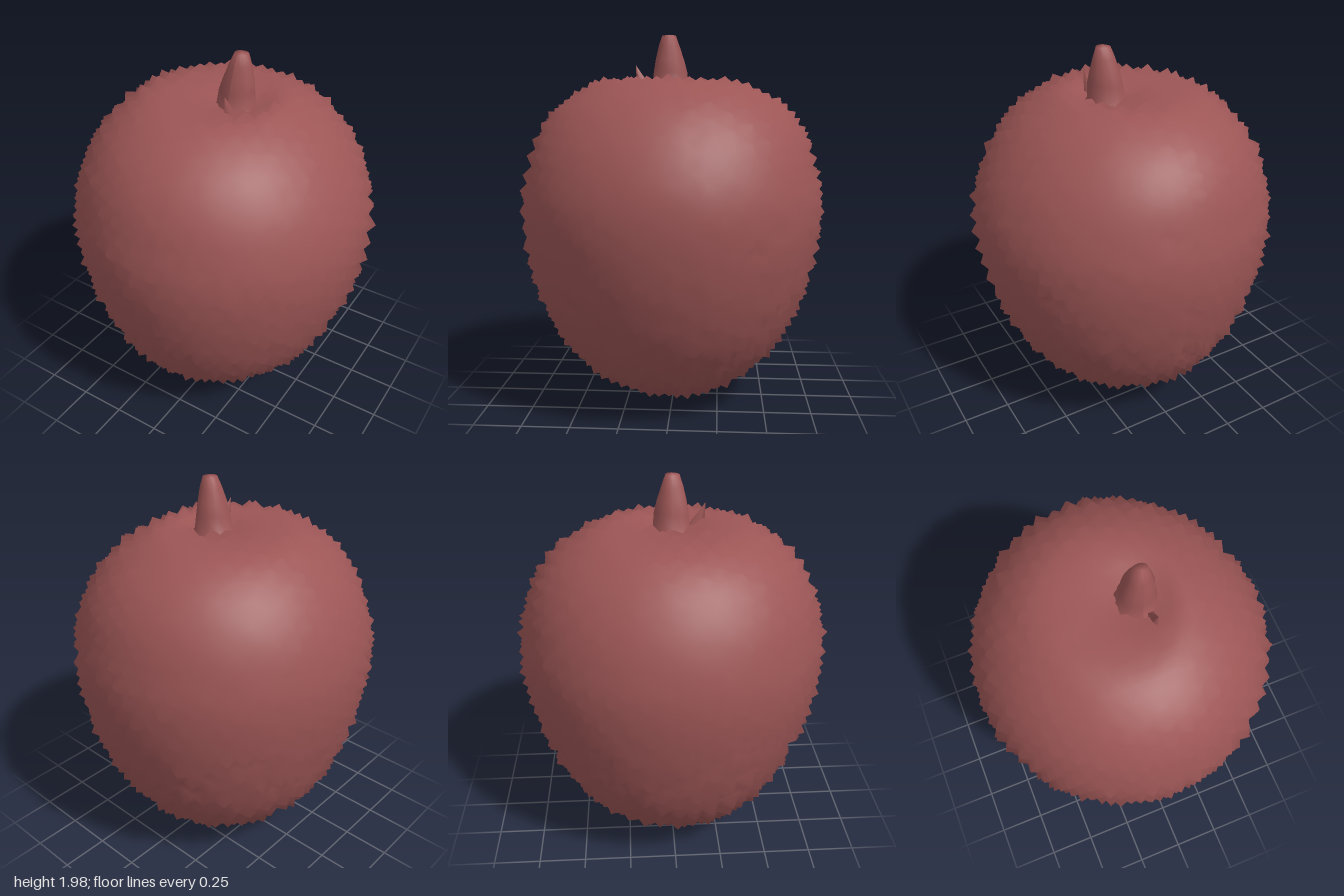
import * as THREE from 'three';
import { mergeVertices } from 'three/addons/utils/BufferGeometryUtils.js';

const vec2 = (list) => list.map(([r, y]) => new THREE.Vector2(r, y));

// Seeded random numbers in 0..1
function makeRandom(seed) {
  let s = seed;
  return () => {
    s = (s * 1664525 + 1013904223) % 4294967296;
    return s / 4294967296;
  };
}

// Evenly scattered spike tips: vertices that are no neighbours of one another
function findTips(pos, spacing) {
  const tips = [];
  const isTip = [];
  for (let i = 0; i < pos.count; i++) {
    const p = new THREE.Vector3().fromBufferAttribute(pos, i);
    isTip[i] = tips.every((q) => q.distanceTo(p) > spacing);
    if (isTip[i]) tips.push(p);
  }
  return isTip;
}

// Rough fruit skin: an even sphere mesh mapped onto a profile, then spiked
function skinGeometry() {
  const random = makeRandom(7);
  const profile = new THREE.SplineCurve(vec2([
    [0, 1.715], [0.1, 1.725], [0.22, 1.75], [0.37, 1.735], [0.54, 1.62], [0.675, 1.44],
    [0.75, 1.24], [0.765, 1.04], [0.73, 0.8], [0.66, 0.57], [0.56, 0.37],
    [0.41, 0.2], [0.22, 0.09], [0, 0.045],
  ]));
  const raw = new THREE.IcosahedronGeometry(1, 16);
  raw.deleteAttribute('normal');
  raw.deleteAttribute('uv');
  const geo = mergeVertices(raw, 1e-4);
  const pos = geo.attributes.position;
  const isTip = findTips(pos, 0.085);
  const v = new THREE.Vector3();

  for (let i = 0; i < pos.count; i++) {
    v.fromBufferAttribute(pos, i).normalize();
    const polar = Math.acos(THREE.MathUtils.clamp(v.y, -1, 1)) / Math.PI;
    const p = profile.getPointAt(polar);
    const a = Math.atan2(v.z, v.x);
    // the dimple leans towards the stem, the shoulders are longer front to back
    const dimple = 1 - THREE.MathUtils.smoothstep(p.x, 0.1, 0.4);
    const top = p.y > 1 ? dimple : 0;
    const lean = -0.03 * Math.pow(Math.abs(p.y - 1) / 0.8, 2);
    const depth = 1.03 + 0.06 * THREE.MathUtils.smoothstep(p.y, 1.25, 1.65);
    pos.setXYZ(i, p.x * Math.cos(a) + lean + 0.1 * top, p.y, p.x * depth * Math.sin(a) + 0.01);
  }
  geo.computeVertexNormals();
  const smooth = geo.attributes.normal.clone();

  // push the tips out, the ground between them slightly in
  for (let i = 0; i < pos.count; i++) {
    const push = isTip[i] ? 0.022 + 0.025 * random() : -0.014 + 0.016 * random();
    v.fromBufferAttribute(smooth, i).multiplyScalar(push);
    pos.setXYZ(i, pos.getX(i) + v.x, Math.max(0, pos.getY(i) + v.y), pos.getZ(i) + v.z);
  }

  // soft shading above, rougher towards the bottom
  geo.computeVertexNormals();
  const normal = geo.attributes.normal;
  const s = new THREE.Vector3();
  for (let i = 0; i < pos.count; i++) {
    const rough = 0.15 + 0.4 * (1 - THREE.MathUtils.smoothstep(pos.getY(i), 0.2, 1.1));
    s.fromBufferAttribute(smooth, i);
    v.fromBufferAttribute(normal, i).lerp(s, 1 - rough).normalize();
    normal.setXYZ(i, v.x, v.y, v.z);
  }
  return geo;
}

// Short stem, flared at the foot and bent towards +x
function stemGeometry() {
  const geo = new THREE.LatheGeometry(vec2([
    [0.13, 1.69], [0.095, 1.74], [0.088, 1.81], [0.075, 1.87], [0.055, 1.94], [0.036, 1.995], [0, 2],
  ]), 12);
  const pos = geo.attributes.position;
  for (let i = 0; i < pos.count; i++) {
    const a = Math.atan2(pos.getZ(i), pos.getX(i));
    const k = 1 + 0.06 * Math.sin(3 * a + pos.getY(i) * 14);
    pos.setX(i, pos.getX(i) * k + 0.07 + 0.08 * (pos.getY(i) - 1.7));
    pos.setZ(i, pos.getZ(i) * k + 0.015);
  }
  geo.computeVertexNormals();
  return geo;
}

export function createModel() {
  const group = new THREE.Group();
  group.name = 'fruit';
  const red = new THREE.MeshStandardMaterial({ color: 0x9c5555 });
  red.name = 'dull red';

  const add = (name, geometry) => {
    const mesh = new THREE.Mesh(geometry, red);
    mesh.name = name;
    group.add(mesh);
    return mesh;
  };

  add('skin', skinGeometry());
  add('stem', stemGeometry());

  // Small spur in front of the stem
  const spur = add('spur', new THREE.ConeGeometry(0.045, 0.14, 5));
  spur.position.set(0.11, 1.78, 0.165);
  spur.rotation.x = 0.35;
  spur.scale.x = 0.5;
  return group;
}
